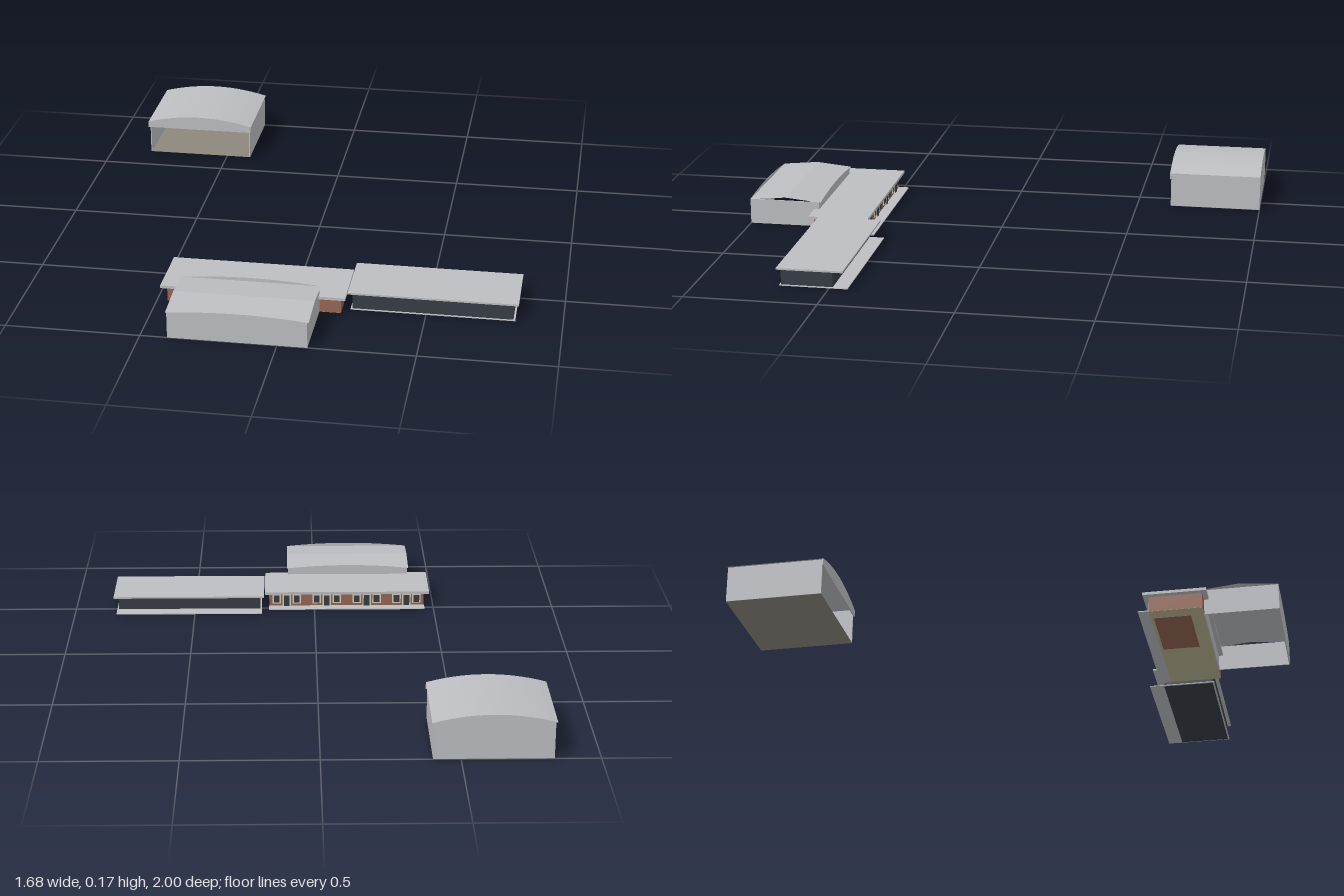
import * as THREE from 'three';

const mat = (name, color) => {
  const m = new THREE.MeshStandardMaterial({ color });
  m.name = name;
  m.side = THREE.DoubleSide;
  return m;
};

export function createModel() {
  const root = new THREE.Group();
  root.name = 'airfieldBuildings';
  const metal = mat('greyMetal', 0xbcbec2);
  const brick = mat('brick', 0x966654);
  const dark = mat('darkGlass', 0x373d44);
  const cream = mat('creamFrame', 0xd8d0b8);
  const floorMat = mat('hangarFloor', 0x8c887d);
  const tile = mat('terminalFloor', 0xbcb894);

  const group = (name) => {
    const g = new THREE.Group();
    g.name = name;
    root.add(g);
    return g;
  };
  // box given by its min and max along each axis
  const box = (parent, name, m, x0, x1, y0, y1, z0, z1) => {
    const mesh = new THREE.Mesh(new THREE.BoxGeometry(x1 - x0, y1 - y0, z1 - z0), m);
    mesh.position.set((x0 + x1) / 2, (y0 + y1) / 2, (z0 + z1) / 2);
    mesh.name = name;
    parent.add(mesh);
  };
  // shallow arch outline spanning x
  const archShape = (span, rise, segs) => {
    const s = new THREE.Shape();
    s.moveTo(-span / 2, 0);
    s.lineTo(span / 2, 0);
    for (let i = 1; i < segs; i++) {
      const t = 1 - (2 * i) / segs;
      s.lineTo((t * span) / 2, rise * (1 - t * t));
    }
    return s;
  };
  const T = 0.004;

  // Hangar with an open front
  const hangar = group('hangar');
  box(hangar, 'hangarFloor', floorMat, -0.833, -0.4, 0, 0.001, -1, -0.637);
  box(hangar, 'hangarBackWall', metal, -0.833, -0.4, 0.001, 0.14, -1, -1 + T);
  for (const x of [-0.833, -0.4 - T])
    box(hangar, 'hangarSideWall', metal, x, x + T, 0.001, 0.14, -1 + T, -0.637);
  box(hangar, 'hangarFascia', metal, -0.84, -0.395, 0.115, 0.14, -0.637, -0.632);
  const vault = new THREE.Mesh(
    new THREE.ExtrudeGeometry(archShape(0.445, 0.031, 14), { depth: 0.368, bevelEnabled: false }), metal);
  vault.position.set(-0.6175, 0.14, -1);
  vault.name = 'hangarRoof';
  hangar.add(vault);

  // Hall: open below, two thin roof slopes, arched gable sheets
  const hall = group('hall');
  for (const z of [0.718, 1 - T])
    box(hall, 'hallLongWall', metal, -0.4, 0.11, 0, 0.1, z, z + T);
  for (const x of [-0.4, 0.11 - T])
    box(hall, 'hallEndWall', metal, x, x + T, 0, 0.1, 0.718 + T, 1 - T);
  const run = 0.1445, rise = 0.014;
  for (const side of [-1, 1]) {
    const slope = new THREE.Mesh(new THREE.PlaneGeometry(0.52, Math.hypot(run, rise)), metal);
    slope.rotation.x = -Math.PI / 2 + side * Math.atan2(rise, run);
    slope.position.set(-0.145, 0.1 + rise / 2, 0.8555 + (side * run) / 2);
    slope.name = 'hallRoofSlope';
    hall.add(slope);
    const gable = new THREE.Mesh(new THREE.ShapeGeometry(archShape(0.52, rise, 12)), metal);
    gable.position.set(-0.145, 0.1, 0.8555 + side * run);
    if (side < 0) gable.rotation.y = Math.PI;
    gable.name = 'hallGable';
    hall.add(gable);
  }

  // Terminal: brick block with a flat roof and a glazed back
  const terminal = group('terminal');
  box(terminal, 'terminalWalls', brick, -0.46, 0.19, 0.001, 0.06, 0.52, 0.72);
  box(terminal, 'terminalFloor', tile, -0.46, 0.19, 0.0005, 0.001, 0.52, 0.72);
  box(terminal, 'brickFooting', brick, -0.4, -0.12, 0, 0.0005, 0.53, 0.67);
  box(terminal, 'terminalPavement', metal, -0.463, 0.192, 0, T, 0.478, 0.52);
  box(terminal, 'terminalRoof', metal, -0.482, 0.208, 0.06, 0.071, 0.499, 0.738);
  const bays = 15;
  for (let i = 0; i < bays; i++) {
    if (i % 4 === 3) continue;
    const x = -0.448 + (i * 0.63) / bays;
    const door = i % 4 === 1;
    box(terminal, 'windowFrame', cream, x, x + 0.036, door ? T : 0.014, 0.054, 0.517, 0.52);
    box(terminal, 'windowPane', dark, x + 0.006, x + 0.03, door ? T : 0.019, 0.049, 0.515, 0.517);
  }

  // Concourse: long dark glazed block between two slabs
  const concourse = group('concourse');
  box(concourse, 'concourseWalls', dark, 0.227, 0.82, 0, 0.066, 0.487, 0.682);
  box(concourse, 'concourseRoof', metal, 0.211, 0.838, 0.066, 0.073, 0.445, 0.695);
  box(concourse, 'concoursePavement', metal, 0.221, 0.827, 0.001, T, 0.43, 0.688);
  return root;
}
